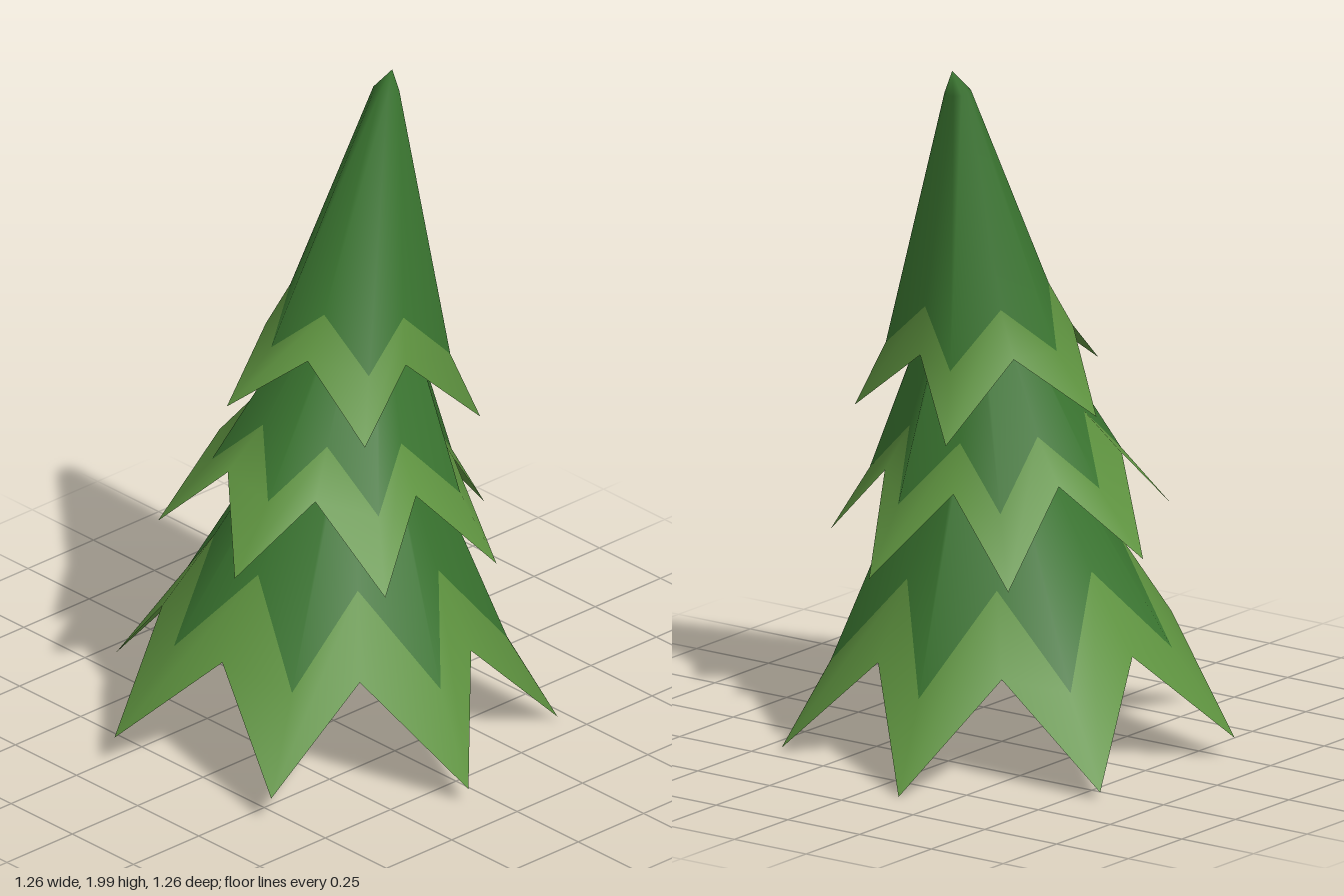
import * as THREE from 'three';

const dark = new THREE.MeshStandardMaterial({ color: 0x3a7530, side: THREE.DoubleSide });
const light = new THREE.MeshStandardMaterial({ color: 0x5f9440, side: THREE.DoubleSide });

// Each ring: tip radius, tip height, notch radius, notch height, centre x, centre z, tilt.
// Order: ragged hem, border between the greens, ring below the peak, peak.
const tiers = [
  { name: 'lowerTier', points: 7, start: 95, rings: [
    [0.65, 0.056, 0.455, 0.345, -0.015, -0.02, 0.07],
    [0.49, 0.305, 0.33, 0.57, 0.0, -0.005, 0.1],
    [0.04, 1.2, 0.04, 1.2, 0.09, 0.01, 0.15],
    [0, 1.26, 0, 1.26, 0.1, 0.015, 0]] },
  { name: 'middleTier', points: 7, start: 270, rings: [
    [0.49, 0.622, 0.34, 0.85, -0.003, 0.0, 0.105],
    [0.36, 0.81, 0.25, 0.975, 0.02, 0.005, 0.12],
    [0.04, 1.5, 0.04, 1.5, 0.13, 0.015, 0.15],
    [0, 1.56, 0, 1.56, 0.14, 0.02, 0]] },
  { name: 'upperTier', points: 5, start: 270, rings: [
    [0.375, 1.025, 0.235, 1.21, 0.045, 0.012, 0.135],
    [0.265, 1.2, 0.19, 1.34, 0.066, 0.025, 0.13],
    [0.037, 1.94, 0.037, 1.94, 0.19, 0.012, 0.15],
    [0, 2.0, 0, 2.0, 0.203, 0.022, 0]] },
];

// Star-edged leaning cone, split into a light hem and a dark body with shared normals
function makeTier({ name, points, start, rings }) {
  const cols = points * 2;
  const positions = [];
  for (const [tipR, tipY, notchR, notchY, cx, cz, tilt] of rings) {
    for (let i = 0; i < cols; i++) {
      const a = THREE.MathUtils.degToRad(start) + (i / cols) * Math.PI * 2;
      const r = i % 2 ? notchR : tipR;
      const dx = r * Math.cos(a);
      positions.push(cx + dx, (i % 2 ? notchY : tipY) - tilt * dx, cz + r * Math.sin(a));
    }
  }
  const band = (row) => {
    const index = [];
    for (let i = 0; i < cols; i++) {
      const a = row * cols + i, b = row * cols + (i + 1) % cols;
      const c = a + cols, d = b + cols;
      index.push(a, c, b);
      if (row < rings.length - 2) index.push(b, c, d);
    }
    return index;
  };
  const hem = band(0);
  const body = [...band(1), ...band(2)];

  const whole = new THREE.BufferGeometry();
  whole.setAttribute('position', new THREE.Float32BufferAttribute(positions, 3));
  whole.setIndex([...hem, ...body]);
  whole.computeVertexNormals();
  // Point the peak normals up
  for (let i = 0; i < cols; i++) whole.attributes.normal.setXYZ(3 * cols + i, 0, 1, 0);

  const tier = new THREE.Group();
  tier.name = name;
  for (const [part, index, material] of [['needleTips', hem, light], ['needles', body, dark]]) {
    const geometry = whole.clone();
    geometry.setIndex(index);
    const mesh = new THREE.Mesh(geometry, material);
    mesh.name = part;
    tier.add(mesh);
  }
  return tier;
}

export function createModel() {
  const tree = new THREE.Group();
  tree.name = 'pineTree';
  for (const tier of tiers) tree.add(makeTier(tier));
  return tree;
}
